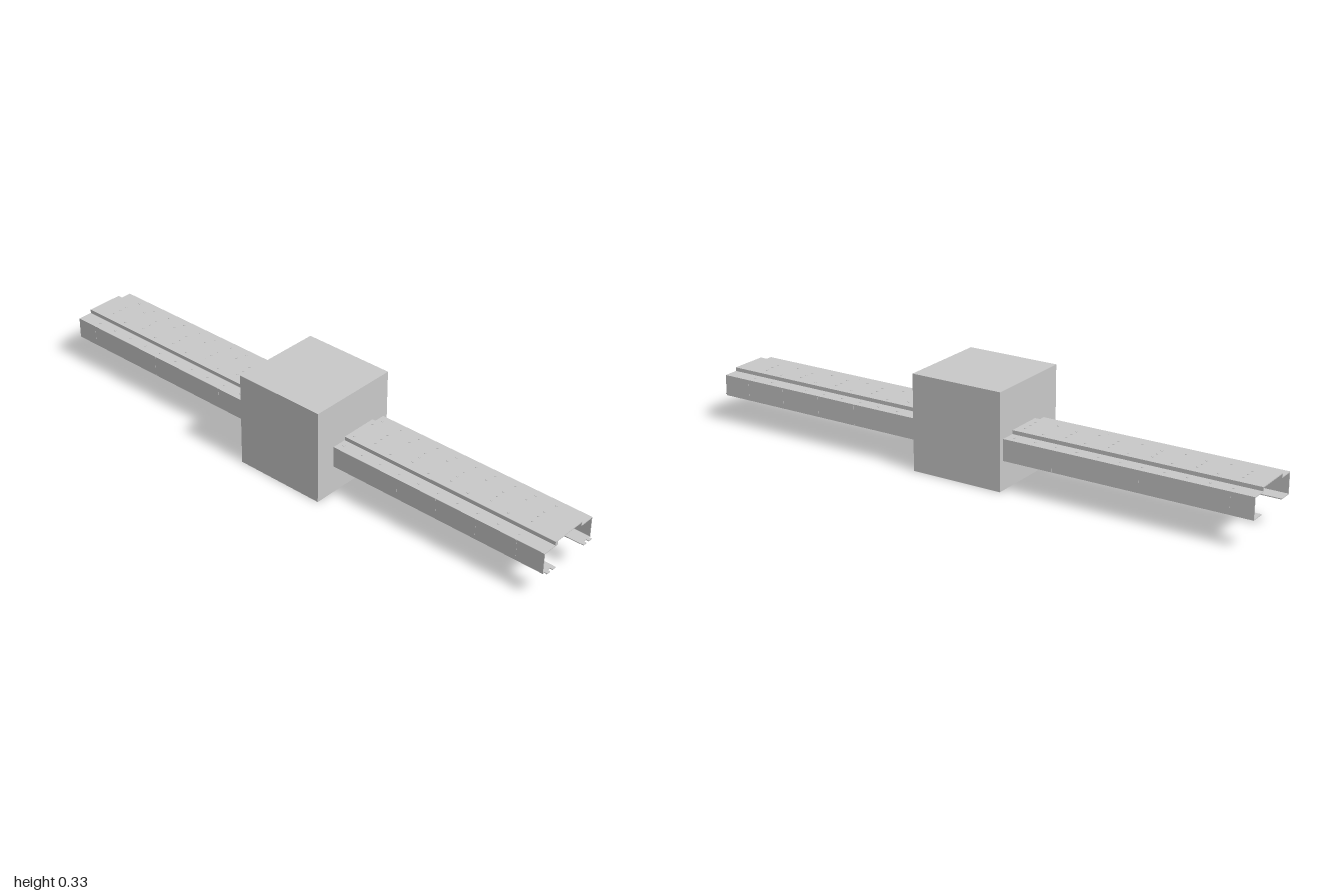
import * as THREE from 'three';

export function createModel() {
  const model = new THREE.Group();
  const grey = new THREE.MeshStandardMaterial({ color: 0xc9c9c9 });
  grey.name = 'light grey';

  const add = (name, geometry, x = 0, y = 0, z = 0, parent = model) => {
    const mesh = new THREE.Mesh(geometry, grey);
    mesh.name = name;
    mesh.position.set(x, y, z);
    parent.add(mesh);
    return mesh;
  };
  const group = (name) => {
    const g = new THREE.Group();
    g.name = name;
    model.add(g);
    return g;
  };

  // Central cube
  add('cube', new THREE.BoxGeometry(0.33, 0.33, 0.33), 0.02, 0.165, 0);

  // Thin sheet channel: raised deck, shoulders, walls and inward lips
  const mid = -0.0275, t = 0.003;
  const half = [
    [0.0695, 0.102], [0.0695, 0.099], [0.1195, 0.099], [0.1195, 0.172], [0.0665, 0.172], [0.0665, 0.185],
  ];
  const inner = [
    [0.0665 - t, 0.185 - t], [0.0665 - t, 0.172 - t], [0.1195 - t, 0.172 - t], [0.1195 - t, 0.102],
  ];
  const right = [...half, ...[...half].reverse().map(([u, v]) => [-u, v])];
  const back = [...[...inner].reverse().map(([u, v]) => [-u, v]), ...inner];
  const profile = new THREE.Shape([...right, ...back].map(([u, v]) => new THREE.Vector2(u, v)));
  const channel = new THREE.ExtrudeGeometry(profile, { depth: 1.99, bevelEnabled: false });
  channel.rotateY(Math.PI / 2);
  add('railChannel', channel, -1, 0, mid);

  // Joining tabs at the end of each lip
  const tabs = group('endTabs');
  for (const side of [-1, 1])
    for (const u of [0.078, 0.105])
      add('endTab', new THREE.BoxGeometry(0.02, 0.003, 0.015), 0.99, 0.1005, mid + side * u, tabs);

  // Hanging tongue under the deck
  add('tongue', new THREE.BoxGeometry(0.004, 0.069, 0.013), 0.95, 0.149, mid);

  // Narrow seams on both walls
  const seams = group('wallSeams');
  const seam = new THREE.BoxGeometry(0.005, 0.07, 0.001);
  for (const x of [-0.92, -0.62, -0.32, 0.44, 0.59, 0.74, 0.89])
    for (const side of [-1, 1])
      add('wallSeam', seam, x, 0.136, mid + side * 0.1195, seams);

  // Small studs along the deck and shoulders
  const studs = group('deckStuds');
  const stud = new THREE.CylinderGeometry(0.004, 0.004, 0.002, 8);
  for (let i = 0; i < 25; i++) {
    const x = -0.92 + i * 0.075;
    if (x > -0.15 && x < 0.19) continue;
    for (const u of i % 2 ? [-0.045, 0.045] : [0, -0.03, 0.03])
      add('deckStud', stud, x, 0.1855, mid + u, studs);
    for (const side of [-1, 1])
      add('shoulderStud', stud, x, 0.1725, mid + side * 0.093, studs);
  }
  return model;
}
